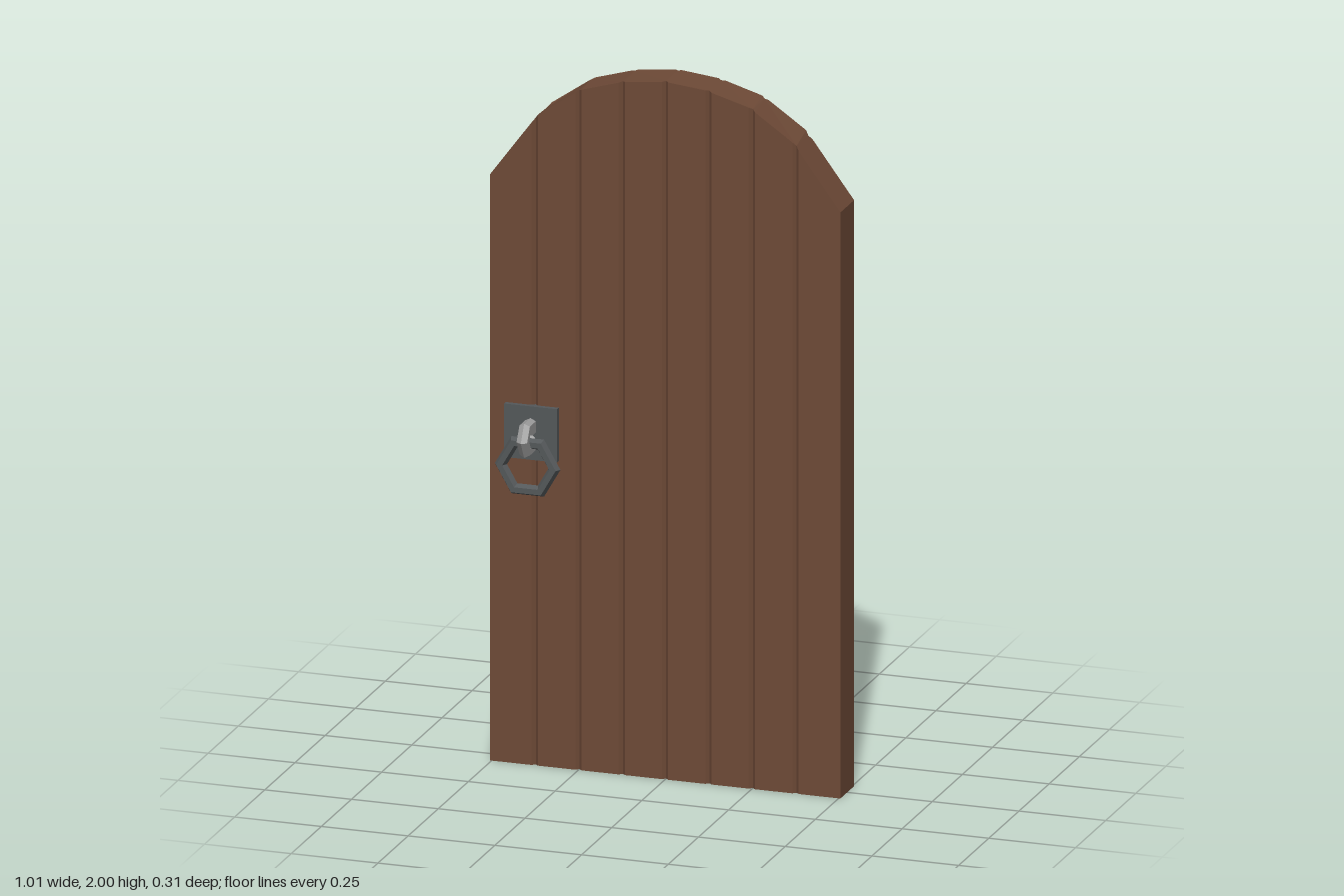
import * as THREE from 'three';

const wood = new THREE.MeshStandardMaterial({ color: 0x6e4a37, flatShading: true, name: 'wood' });
const iron = new THREE.MeshStandardMaterial({ color: 0x54585a, flatShading: true, name: 'dark iron' });
const steel = new THREE.MeshStandardMaterial({ color: 0x9c9c9c, flatShading: true, name: 'light steel' });

const HALF_DEPTH = 0.057;
const SEAMS = [-0.505, -0.376, -0.25, -0.125, 0, 0.125, 0.25, 0.376, 0.505];
const ARCH = [[0, 2], [0.12, 1.987], [0.245, 1.95], [0.368, 1.865], [0.505, 1.68]];

// Height of the faceted arch at x
function archHeight(x) {
  const a = Math.abs(x);
  let i = 1;
  while (i < ARCH.length - 1 && a > ARCH[i][0]) i++;
  const [x0, y0] = ARCH[i - 1], [x1, y1] = ARCH[i];
  return y0 + (y1 - y0) * (a - x0) / (x1 - x0);
}

// Upright board with bevelled long edges, its top cut to the arch
function plank(x0, x1, bevelLeft, bevelRight) {
  const d = HALF_DEPTH, b = 0.009;
  const l = bevelLeft ? b : 0, r = bevelRight ? b : 0;
  const points = [];
  points.push([x0 + l, -d], [x1 - r, -d]);
  if (r) points.push([x1, -d + b], [x1, d - b]);
  points.push([x1 - r, d], [x0 + l, d]);
  if (l) points.push([x0, d - b], [x0, -d + b]);
  const shape = new THREE.Shape(points.map(p => new THREE.Vector2(p[0], p[1])));
  const geo = new THREE.ExtrudeGeometry(shape, { depth: 1, bevelEnabled: false });
  geo.rotateX(-Math.PI / 2);
  const pos = geo.attributes.position;
  for (let i = 0; i < pos.count; i++) {
    pos.setY(i, pos.getY(i) > 0.5 ? archHeight(pos.getX(i)) : 0);
  }
  geo.computeVertexNormals();
  return new THREE.Mesh(geo, wood);
}

// Back plate, staple and hanging ring on one side of the door
function handle(side) {
  const group = new THREE.Group();
  const add = (name, geo, mat, y, z) => {
    const mesh = new THREE.Mesh(geo, mat);
    mesh.name = name;
    mesh.position.set(-0.383, y, side * z);
    group.add(mesh);
    return mesh;
  };
  add('backPlate', new THREE.BoxGeometry(0.153, 0.153, 0.03), iron, 0.956, 0.056);
  add('staple', new THREE.TorusGeometry(0.039, 0.0175, 6, 6), steel, 0.95, 0.096).rotation.y = Math.PI / 2;
  add('pullRing', new THREE.TorusGeometry(0.077, 0.0175, 6, 6), iron, 0.868, 0.095);
  return group;
}

export function createModel() {
  const door = new THREE.Group();
  door.name = 'archedDoor';

  const count = SEAMS.length - 1;
  for (let i = 0; i < count; i++) {
    const board = plank(SEAMS[i], SEAMS[i + 1], i > 0, i < count - 1);
    board.name = 'plank' + (i + 1);
    door.add(board);
  }

  for (const side of [1, -1]) {
    const h = handle(side);
    h.name = side > 0 ? 'frontHandle' : 'backHandle';
    door.add(h);
  }
  return door;
}
